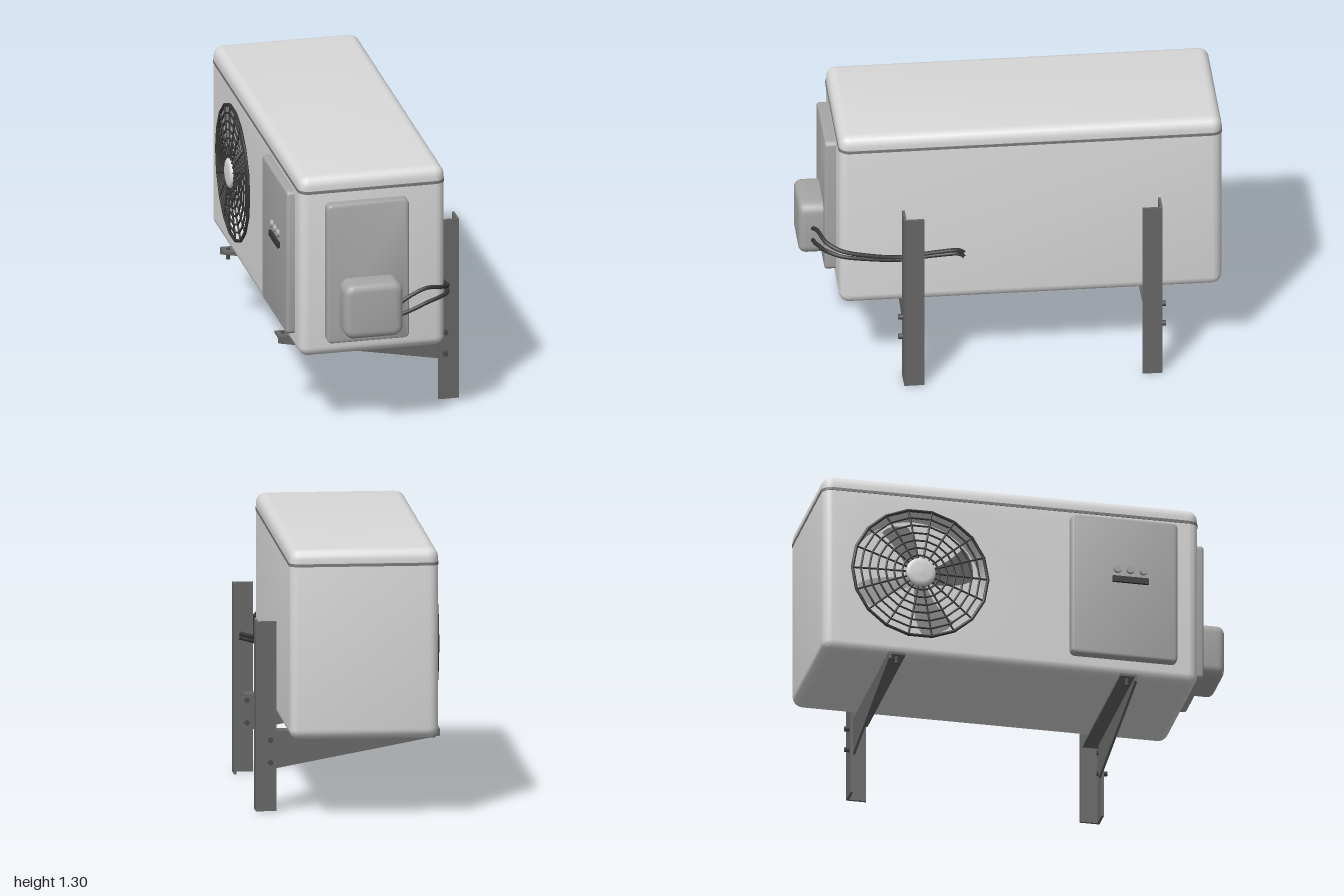
import * as THREE from 'three';
import { mergeGeometries, toCreasedNormals } from 'three/addons/utils/BufferGeometryUtils.js';

const mat = (name, color, side = THREE.FrontSide) => {
  const m = new THREE.MeshStandardMaterial({ color, side });
  m.name = name;
  return m;
};

// Counter-clockwise outline of a rounded rectangle
function outline(w, h, r, steps = 6) {
  const pts = [];
  for (let c = 0; c < 4; c++) {
    const cx = (c === 0 || c === 3 ? 1 : -1) * (w / 2 - r);
    const cy = (c < 2 ? 1 : -1) * (h / 2 - r);
    for (let i = 0; i <= steps; i++) {
      const a = (c + i / steps) * Math.PI / 2;
      pts.push(new THREE.Vector2(cx + r * Math.cos(a), cy + r * Math.sin(a)));
    }
  }
  return pts;
}

// Rounded slab lofted along z; each profile entry is [inset, z]
function slab(w, h, r, profile, hole) {
  const rings = profile.map(([i, z]) => ({ z, p: outline(w - 2 * i, h - 2 * i, Math.max(r - i, 0.004)) }));
  const pos = [];
  for (let k = 0; k + 1 < rings.length; k++) {
    const A = rings[k], B = rings[k + 1], n = A.p.length;
    for (let i = 0; i < n; i++) {
      const j = (i + 1) % n;
      const a = [A.p[i].x, A.p[i].y, A.z], b = [A.p[j].x, A.p[j].y, A.z];
      const c = [B.p[j].x, B.p[j].y, B.z], d = [B.p[i].x, B.p[i].y, B.z];
      pos.push(...a, ...b, ...c, ...a, ...c, ...d);
    }
  }
  const sides = new THREE.BufferGeometry();
  sides.setAttribute('position', new THREE.Float32BufferAttribute(pos, 3));
  const cap = (ring, back) => {
    const shape = new THREE.Shape(ring.p);
    if (hole && !back) shape.holes.push(new THREE.Path().absarc(hole.x, hole.y, hole.r, 0, Math.PI * 2, true));
    const g = new THREE.ShapeGeometry(shape, 48).toNonIndexed();
    if (back) g.rotateY(Math.PI);
    g.translate(0, 0, ring.z);
    g.deleteAttribute('uv');
    g.deleteAttribute('normal');
    return g;
  };
  return toCreasedNormals(mergeGeometries([sides, cap(rings[0], true), cap(rings.at(-1), false)]), 0.6);
}

// Profile with a rounded far edge, and optionally a rounded near edge
function edge(depth, r, both = false) {
  const far = [], near = [];
  for (let i = 0; i <= 4; i++) {
    const a = i / 4 * Math.PI / 2;
    far.push([r * (1 - Math.cos(a)), depth - r + r * Math.sin(a)]);
    near.unshift([r * (1 - Math.cos(a)), r - r * Math.sin(a)]);
  }
  return both ? [...near, ...far] : [[0, 0], ...far];
}

export function createModel() {
  const model = new THREE.Group();
  const casing = mat('casing grey', 0xdadada, THREE.DoubleSide);
  const panel = mat('panel grey', 0xa6a6a6);
  const steel = mat('bracket steel', 0x686868);
  const dark = mat('dark wire', 0x383838);
  const bolt = mat('bolt metal', 0x4a4a4a);
  const grey = mat('middle grey', 0x7c7c7c, THREE.DoubleSide);

  const add = (name, geo, m, x = 0, y = 0, z = 0, parent = model) => {
    const mesh = new THREE.Mesh(geo, m);
    mesh.name = name;
    mesh.position.set(x, y, z);
    parent.add(mesh);
    return mesh;
  };
  const box = (name, m, x0, x1, y0, y1, z0, z1, parent) =>
    add(name, new THREE.BoxGeometry(x1 - x0, y1 - y0, z1 - z0), m, (x0 + x1) / 2, (y0 + y1) / 2, (z0 + z1) / 2, parent);

  // Casing with a round fan opening on its -x side
  const fanY = 0.82, fanZ = -0.53, fanR = 0.325;
  const body = slab(1.83, 0.885, 0.05, edge(0.71, 0.045, true), { x: fanZ + 0.085, y: fanY - 0.8275, r: fanR });
  add('casing', body.rotateY(-Math.PI / 2), casing, 0.313, 0.8275, -0.085);

  // Lid and seam below it
  const flat = (w, d, r, p) => slab(w, d, r, p).rotateX(-Math.PI / 2);
  add('lid', flat(0.712, 1.83, 0.05, edge(0.067, 0.045)), casing, -0.042, 1.233, -0.085);
  add('lidSeam', flat(0.716, 1.836, 0.052, [[0, 0], [0, 0.014]]), grey, -0.042, 1.219, -0.085);

  // Fan: everything is built facing +z, then turned to -x
  const fan = new THREE.Group();
  fan.name = 'fan';
  fan.position.set(-0.397, fanY, fanZ);
  fan.rotation.y = -Math.PI / 2;
  model.add(fan);
  const wall = new THREE.CylinderGeometry(fanR, fanR, 0.12, 48, 1, true).rotateX(Math.PI / 2);
  add('fanRecessWall', wall, casing, 0, 0, -0.06, fan);
  add('fanRecessBack', new THREE.CircleGeometry(fanR, 48), casing, 0, 0, -0.12, fan);
  for (let i = 0; i < 4; i++) {
    const s = new THREE.Shape();
    s.moveTo(0.04, -0.03);
    s.quadraticCurveTo(0.18, -0.1, 0.27, -0.08);
    s.quadraticCurveTo(0.31, 0.01, 0.27, 0.08);
    s.quadraticCurveTo(0.15, 0.02, 0.04, 0.03);
    const b = add('fanBlade', new THREE.ShapeGeometry(s), grey, 0, 0, -0.065, fan);
    b.rotation.set(0, 0, i * Math.PI / 2 + 0.4);
    b.rotateX(0.3);
  }

  // Slightly domed wire grille, its rings straight between the spokes
  const dome = r => 0.02 - 0.012 * (r / 0.33) ** 2;
  const spokes = 18;
  for (let i = 0; i < 7; i++) {
    const r = 0.09 + i * 0.04;
    add('grilleRing', new THREE.TorusGeometry(r, i === 6 ? 0.008 : 0.005, 6, spokes), dark, 0, 0, dome(r), fan);
  }
  for (let i = 0; i < spokes; i++) {
    const path = new THREE.CatmullRomCurve3([0.068, 0.19, 0.33].map(r => new THREE.Vector3(r, 0, dome(r))));
    add('grilleSpoke', new THREE.TubeGeometry(path, 4, 0.005, 6), dark, 0, 0, 0, fan).rotation.z = i * Math.PI * 2 / spokes;
  }
  const hub = [[0, 0.04], [0.05, 0.038], [0.066, 0.033], [0.072, 0.026], [0.072, 0]].reverse();
  add('grilleHub', new THREE.LatheGeometry(hub.map(p => new THREE.Vector2(...p)), 32).rotateX(Math.PI / 2), casing, 0, 0, 0, fan);

  // Control panel beside the fan
  add('controlPanel', slab(0.52, 0.73, 0.025, edge(0.042, 0.015)).rotateY(-Math.PI / 2), panel, -0.394, 0.833, 0.46);
  box('controlHandle', dark, -0.449, -0.432, 0.857, 0.887, 0.4, 0.575);
  for (const z of [0.425, 0.487, 0.55]) {
    add('controlKnob', new THREE.CylinderGeometry(0.018, 0.02, 0.014, 20).rotateZ(Math.PI / 2), panel, -0.442, 0.926, z);
  }

  // Service cover and connection box on the front
  add('serviceCover', slab(0.4, 0.705, 0.025, edge(0.06, 0.012)), panel, -0.075, 0.82, 0.823);
  add('connectionBox', slab(0.288, 0.275, 0.05, edge(0.12, 0.035)), panel, -0.073, 0.66, 0.88);

  // Two hoses running from the box round the casing to the rear
  const hose = pts => new THREE.TubeGeometry(
    new THREE.CatmullRomCurve3(pts.map(p => new THREE.Vector3(...p))), 64, 0.01, 8);
  add('upperHose', hose([[0.05, 0.66, 0.935], [0.13, 0.705, 0.93], [0.2, 0.728, 0.92], [0.28, 0.715, 0.89],
    [0.325, 0.69, 0.82], [0.335, 0.665, 0.7], [0.328, 0.642, 0.54], [0.333, 0.662, 0.38], [0.362, 0.685, 0.265], [0.444, 0.71, 0.243]]), dark);
  add('lowerHose', hose([[0.05, 0.602, 0.935], [0.13, 0.628, 0.93], [0.2, 0.653, 0.92], [0.28, 0.668, 0.89],
    [0.325, 0.66, 0.82], [0.335, 0.645, 0.7], [0.328, 0.628, 0.54], [0.333, 0.645, 0.38], [0.362, 0.665, 0.265], [0.444, 0.69, 0.243]]), dark);

  // Wall brackets, mirrored: angle post, tapered arm and bolts
  const web = new THREE.Shape([[-0.43, 0.35], [0.36, 0.203], [0.36, 0.384], [-0.43, 0.384]].map(p => new THREE.Vector2(...p)));
  for (const [z, s] of [[0.487, 1], [-0.652, -1]]) {
    const bracket = new THREE.Group();
    bracket.name = 'wallBracket';
    bracket.position.z = z;
    model.add(bracket);
    const slice = (a, b) => [Math.min(a * s, b * s), Math.max(a * s, b * s)];
    box('postSide', steel, 0.35, 0.449, 0, 0.913, ...slice(0.036, 0.048), bracket);
    box('postBack', steel, 0.437, 0.449, 0, 0.913, ...slice(-0.048, 0.036), bracket);
    const webGeo = new THREE.ExtrudeGeometry(web, { depth: 0.012, bevelEnabled: false });
    add('armWeb', webGeo, steel, 0, 0, s > 0 ? 0.024 : -0.036, bracket);
    box('armLip', steel, -0.43, 0.4, 0.373, 0.385, ...slice(-0.046, 0.03), bracket);
    for (const y of [0.235, 0.343]) {
      add('postBolt', new THREE.CylinderGeometry(0.013, 0.013, 0.05, 8).rotateX(Math.PI / 2), bolt, 0.38, y, 0.045 * s, bracket);
    }
    add('footBolt', new THREE.CylinderGeometry(0.01, 0.01, 0.055, 8), bolt, -0.4, 0.364, -0.008 * s, bracket);
  }
  return model;
}
